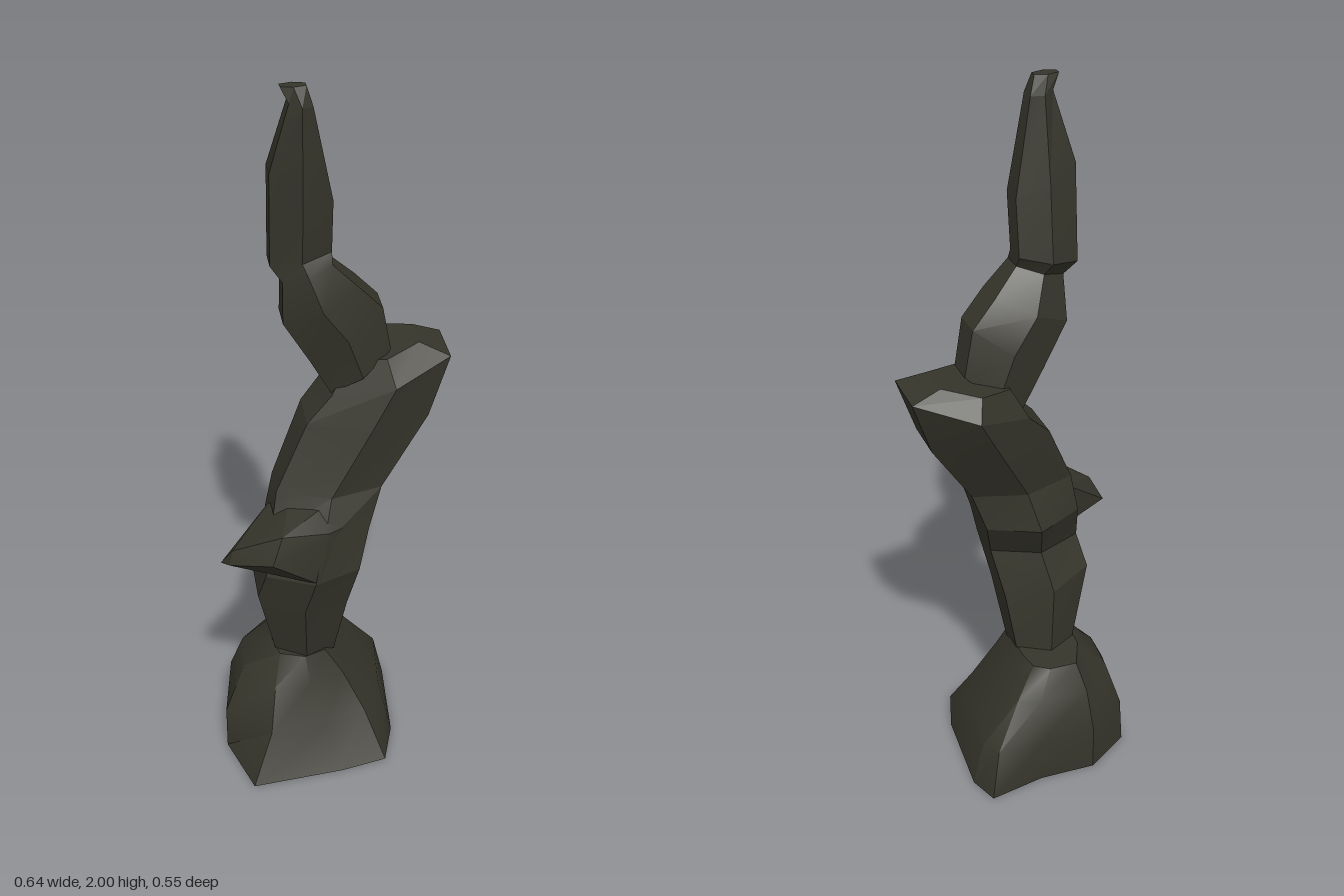
import * as THREE from 'three';
import { toCreasedNormals } from 'three/addons/utils/BufferGeometryUtils.js';
import { ConvexGeometry } from 'three/addons/geometries/ConvexGeometry.js';

// Skin a stack of rings (equal point counts, bottom to top), closing the top.
function loft(rings, crease) {
  const pos = [];
  const tri = (...pts) => pts.forEach((p) => pos.push(p.x, p.y, p.z));
  const n = rings[0].length;
  for (let r = 0; r < rings.length - 1; r++) {
    const a = rings[r], b = rings[r + 1];
    for (let i = 0; i < n; i++) {
      const j = (i + 1) % n;
      tri(a[i], b[i], a[j]);
      tri(a[j], b[i], b[j]);
    }
  }
  const top = rings[rings.length - 1];
  const centre = top.reduce((c, p) => c.add(p), new THREE.Vector3()).divideScalar(n);
  for (let i = 0; i < n; i++) tri(centre, top[(i + 1) % n], top[i]);
  const geo = new THREE.BufferGeometry();
  geo.setAttribute('position', new THREE.Float32BufferAttribute(pos, 3));
  return toCreasedNormals(geo, crease);
}

// Six-sided tilted ring, flat at its left and right, ridged at front and back:
// left x and y, right x and y, back z, front z.
function limbRing([xL, yL, xR, yR, zBack, zFront]) {
  return Array.from({ length: 6 }, (_, i) => {
    const a = ((i + 0.5) / 6) * Math.PI * 2;
    const t = 0.5 + Math.cos(a) / Math.sqrt(3);
    const s = 0.5 + Math.sin(a) / 2;
    return new THREE.Vector3(
      THREE.MathUtils.lerp(xL, xR, t),
      THREE.MathUtils.lerp(yL, yR, t),
      THREE.MathUtils.lerp(zBack, zFront, s));
  });
}

// Cross-sections of the root mound: height, then x and z around the outline.
const moundSections = [
  [0, [[0.19, -0.19], [0.17, 0.08], [0.13, 0.21], [0, 0.24], [-0.26, 0.27],
    [-0.32, 0.08], [-0.29, -0.15], [-0.16, -0.24], [0, -0.24], [0.16, -0.275]]],
  [0.13, [[0.16, -0.19], [0.14, 0.02], [0.08, 0.14], [-0.05, 0.175], [-0.2, 0.2],
    [-0.32, 0.08], [-0.285, -0.14], [-0.16, -0.24], [0, -0.24], [0.13, -0.24]]],
  [0.25, [[0.05, -0.13], [0.05, 0], [0.02, 0.1], [-0.08, 0.14], [-0.18, 0.14],
    [-0.26, 0.03], [-0.25, -0.1], [-0.15, -0.205], [-0.01, -0.205], [0.05, -0.18]]],
  [0.33, [[0, -0.08], [0, 0.01], [-0.03, 0.09], [-0.09, 0.115], [-0.16, 0.09],
    [-0.175, 0.02], [-0.17, -0.08], [-0.13, -0.17], [-0.05, -0.17], [-0.01, -0.14]]],
];

export function createModel() {
  const group = new THREE.Group();
  const bark = new THREE.MeshStandardMaterial({ color: 0x36352b, side: THREE.DoubleSide });
  bark.name = 'dark bark';
  const add = (name, geo) => {
    const mesh = new THREE.Mesh(geo, bark);
    mesh.name = name;
    group.add(mesh);
  };

  // Flared roots, hollow underneath
  add('rootMound', loft(moundSections.map(([y, outline]) =>
    outline.map(([x, z]) => new THREE.Vector3(x, y, z))), 0.6));

  // Trunk leaning over into a broken knob
  add('lowerTrunk', loft([
    [-0.17, 0.33, 0, 0.31, -0.09, 0.11],
    [-0.22, 0.55, 0.03, 0.5, -0.08, 0.165],
    [-0.2, 0.64, 0.06, 0.64, -0.04, 0.2],
    [-0.18, 0.76, 0.09, 0.75, -0.11, 0.18],
    [-0.16, 0.87, 0.13, 0.86, -0.08, 0.12],
    [-0.07, 1.06, 0.26, 1.06, -0.16, 0.11],
    [0, 1.13, 0.32, 1.225, -0.205, 0.1],
    [0.05, 1.22, 0.24, 1.255, -0.17, 0.04],
  ].map(limbRing), 0.3));

  // Thin limb rising from the knob to the tip
  add('upperLimb', loft([
    [0, 1.13, 0.16, 1.25, -0.115, 0.05],
    [-0.06, 1.24, 0.135, 1.38, -0.115, 0.065],
    [-0.13, 1.36, 0.07, 1.45, -0.1, 0.08],
    [-0.13, 1.48, 0, 1.52, -0.055, 0.07],
    [-0.16, 1.52, 0, 1.55, -0.08, 0.055],
    [-0.16, 1.78, 0, 1.7, -0.055, 0.08],
    [-0.11, 1.96, -0.05, 1.95, -0.01, 0.08],
    [-0.13, 2, -0.065, 2, 0.015, 0.055],
  ].map(limbRing), 0.3));

  // Snapped branch stub spreading from the front of the trunk
  add('branchStub', toCreasedNormals(new ConvexGeometry([
    [-0.32, 0.68, 0.11], [-0.29, 0.74, 0.145], [-0.3, 0.7, 0.155],
    [-0.19, 0.74, 0.235], [-0.16, 0.81, 0.205], [-0.03, 0.79, 0.175],
    [-0.19, 0.63, 0.1], [-0.06, 0.64, 0.195], [0.05, 0.65, 0.1],
    [0.06, 0.78, 0.11], [-0.02, 0.84, 0.1], [-0.12, 0.84, 0.04],
    [-0.18, 0.8, 0.02], [-0.17, 0.68, 0.02],
  ].map((p) => new THREE.Vector3(...p))), 0.3));

  return group;
}
